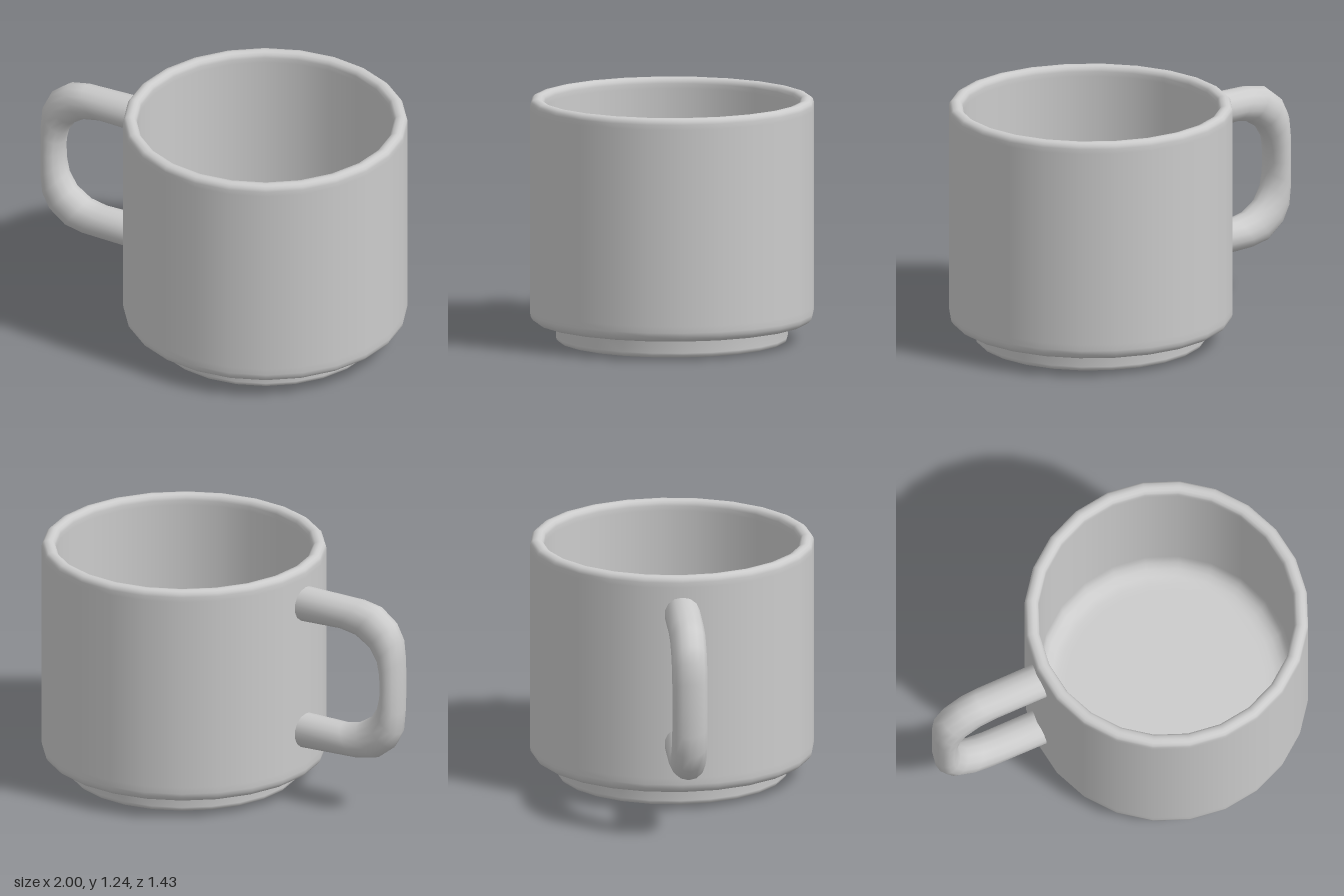
import * as THREE from 'three';

const material = new THREE.MeshStandardMaterial({ color: 0xcccccc });
const SIDES = 24;

// Points of a rounded corner, swept from angle a to b (in degrees)
function fillet(x, y, r, a, b, steps = 3) {
  return Array.from({ length: steps + 1 }, (_, i) => {
    const t = THREE.MathUtils.degToRad(a + ((b - a) * i) / steps);
    return [x + r * Math.cos(t), y + r * Math.sin(t)];
  });
}

// Cup wall, foot ring, underside recess and inner floor as one turned profile
function cupGeometry() {
  const profile = [
    [0, 0.05], [0.44, 0.05], [0.465, 0.045], [0.47, 0.02],
    ...fillet(0.49, 0.02, 0.02, 200, 270, 2),
    ...fillet(0.56, 0.025, 0.025, -90, 0),
    [0.585, 0.085], [0.592, 0.095], [0.61, 0.097],
    ...fillet(0.665, 0.147, 0.05, -90, 0, 4),
    [0.715, 0.18], [0.715, 1.18],
    ...fillet(0.685, 1.205, 0.03, 0, 90),
    ...fillet(0.675, 1.205, 0.03, 90, 180),
    [0.645, 1.18], [0.645, 0.3],
    ...fillet(0.545, 0.27, 0.1, 0, -90, 4),
    [0.5, 0.17], [0, 0.17],
  ].map(([x, y]) => new THREE.Vector2(x, y));
  return new THREE.LatheGeometry(profile, SIDES);
}

// Handle: oval rings spanning an outer and an inner rail, mirrored about mid height
function handleGeometry() {
  const midY = 0.7, halfDepth = 0.09, around = 14;
  // outer x, outer height, inner x, inner height (heights from the middle)
  const upper = [
    [-0.39, 0.43, -0.39, 0.25],
    [-0.76, 0.42, -0.65, 0.257],
    [-0.86, 0.4, -0.74, 0.24],
    [-0.95, 0.33, -0.82, 0.19],
    [-0.99, 0.25, -0.865, 0.12],
    [-1, 0.14, -0.88, 0.06],
  ];
  const lower = upper.map(([ox, oy, ix, iy]) => [ox, -oy, ix, -iy]).reverse();
  const rings = [...upper, [-1, 0, -0.885, 0], ...lower];
  const positions = [], index = [];
  rings.forEach(([ox, oy, ix, iy], k) => {
    for (let j = 0; j < around; j++) {
      const t = (j / around) * Math.PI * 2;
      const w = (1 + Math.cos(t)) / 2;
      positions.push(ix + (ox - ix) * w, midY + iy + (oy - iy) * w, halfDepth * Math.sin(t));
      if (k === rings.length - 1) continue;
      const a = k * around + j, c = k * around + ((j + 1) % around);
      index.push(a, a + around, c, c, a + around, c + around);
    }
  });
  const geometry = new THREE.BufferGeometry();
  geometry.setAttribute('position', new THREE.Float32BufferAttribute(positions, 3));
  geometry.setIndex(index);
  geometry.computeVertexNormals();
  return geometry;
}

export function createModel() {
  const mug = new THREE.Group();
  mug.name = 'mug';

  const cup = new THREE.Mesh(cupGeometry(), material);
  cup.name = 'cup';
  cup.position.x = 0.283;

  const handle = new THREE.Mesh(handleGeometry(), material);
  handle.name = 'handle';

  mug.add(cup, handle);
  return mug;
}
